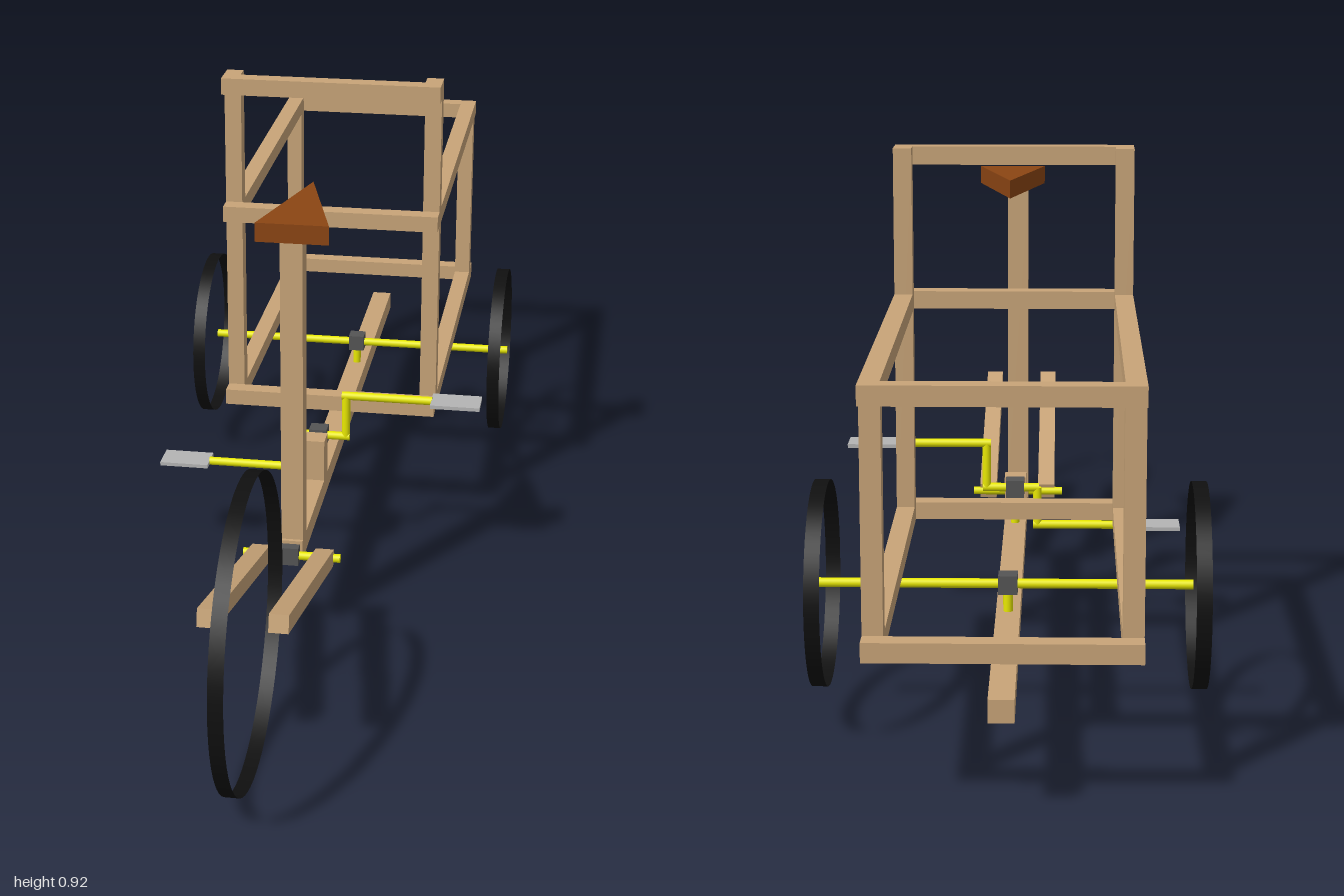
import * as THREE from 'three';

const mat = (color, side = THREE.FrontSide) => {
  const m = new THREE.MeshStandardMaterial({ side });
  m.color.set(color);
  return m;
};

export function createModel() {
  const model = new THREE.Group();
  const wood = mat(0xc8a478), brown = mat(0x8b4513), yellow = mat(0xe8e800);
  const dark = mat(0x555555), steel = mat(0xb4b4b4), black = mat(0x101010, THREE.DoubleSide);

  const add = (name, geometry, material, parent = model) => {
    const mesh = new THREE.Mesh(geometry, material);
    mesh.name = name;
    parent.add(mesh);
    return mesh;
  };
  // box given by its min and max on each axis
  const box = (name, [x0, x1], [y0, y1], [z0, z1], material, parent) => {
    const mesh = add(name, new THREE.BoxGeometry(x1 - x0, y1 - y0, z1 - z0), material, parent);
    mesh.position.set((x0 + x1) / 2, (y0 + y1) / 2, (z0 + z1) / 2);
    return mesh;
  };
  // round rod between two points
  const rod = (name, a, b, r = 0.008) => {
    const p = new THREE.Vector3(...a), q = new THREE.Vector3(...b);
    const mesh = add(name, new THREE.CylinderGeometry(r, r, p.distanceTo(q), 20), yellow);
    mesh.position.copy(p).add(q).multiplyScalar(0.5);
    mesh.quaternion.setFromUnitVectors(new THREE.Vector3(0, 1, 0), q.sub(p).normalize());
    return mesh;
  };
  // wheel as a thin open band
  const wheel = (name, x, y, z, r) => {
    const g = new THREE.CylinderGeometry(r, r, 0.025, 64, 1, true).rotateZ(Math.PI / 2);
    add(name, g, black).position.set(x, y, z);
  };

  // Main beam, seat post and crank stub
  box('mainBeam', [-0.02, 0.02], [0.155, 0.192], [-1, 0.275], wood);
  box('seatPost', [-0.02, 0.02], [0.192, 0.787], [0.227, 0.268], wood);
  box('crankStub', [-0.02, 0.02], [0.192, 0.273], [-0.025, 0.017], wood);

  // Triangular seat, narrow end to the back
  const seat = new THREE.Shape([
    new THREE.Vector2(-0.051, -0.335),
    new THREE.Vector2(0.076, -0.335),
    new THREE.Vector2(0.0125, -0.1),
  ]);
  const seatGeometry = new THREE.ExtrudeGeometry(seat, { depth: 0.034, bevelEnabled: false });
  add('seat', seatGeometry.rotateX(-Math.PI / 2), brown).position.y = 0.786;

  // Sloping fork arms on a pivot rod
  const slope = Math.atan2(0.13, 0.48);
  for (const x of [-0.056, 0.061]) {
    const arm = add('forkArm', new THREE.BoxGeometry(0.033, 0.031, 0.5), wood);
    arm.position.set(x, 0.231, 0.52);
    arm.rotation.x = -slope;
  }
  rod('forkPivot', [-0.088, 0.166, 0.28], [0.09, 0.166, 0.28]);
  box('forkPivotBlock', [-0.018, 0.015], [0.152, 0.186], [0.265, 0.294], dark);

  // Crank with pedals
  const cz = -0.045;
  rod('crankSupport', [0, 0.19, cz], [0, 0.25, cz]);
  box('crankBlock', [-0.017, 0.017], [0.243, 0.276], [cz - 0.016, cz + 0.016], dark);
  rod('crankAxle', [-0.045, 0.26, cz], [0.06, 0.26, cz]);
  for (const [x, y, end] of [[0.053, 0.345, 0.218], [-0.042, 0.188, -0.216]]) {
    const s = Math.sign(x);
    rod('crankArm', [x, 0.26, cz], [x, y, cz]);
    rod('pedalRod', [x - s * 0.008, y, cz], [end, y, cz]);
    const pedal = add('pedal', new THREE.BoxGeometry(0.094, 0.007, 0.058), steel);
    pedal.position.set(end + s * 0.046, y, cz);
  }

  // Rear axle
  rod('rearAxleSupport', [0, 0.19, -0.58], [0, 0.232, -0.58]);
  box('rearAxleBlock', [-0.016, 0.016], [0.224, 0.256], [-0.596, -0.564], dark);
  rod('rearAxle', [-0.305, 0.239, -0.58], [0.323, 0.239, -0.58]);

  // Wheels
  wheel('frontWheel', 0.005, 0.263, 0.737, 0.263);
  wheel('rearRightWheel', -0.313, 0.24, -0.584, 0.17);
  wheel('rearLeftWheel', 0.306, 0.24, -0.584, 0.17);

  // Cargo frame
  const cargo = new THREE.Group();
  cargo.name = 'cargoFrame';
  model.add(cargo);
  const width = [-0.211, 0.207], front = [-0.222, -0.19], rear = [-1, -0.968];
  for (const x of [[-0.211, -0.179], [0.175, 0.207]]) {
    box('frontUpright', x, [0.247, 0.92], [-0.254, -0.222], wood, cargo);
    box('rearUpright', x, [0.278, 0.633], [-0.968, -0.936], wood, cargo);
    for (const y of [[0.247, 0.278], [0.633, 0.664]]) {
      box('sideRail', x, y, [-0.968, -0.254], wood, cargo);
    }
  }
  for (const y of [[0.247, 0.278], [0.633, 0.664]]) {
    box('frontCrossbar', width, y, front, wood, cargo);
    box('rearCrossbar', width, y, rear, wood, cargo);
  }
  box('topCrossbar', width, [0.888, 0.92], front, wood, cargo);

  return model;
}
